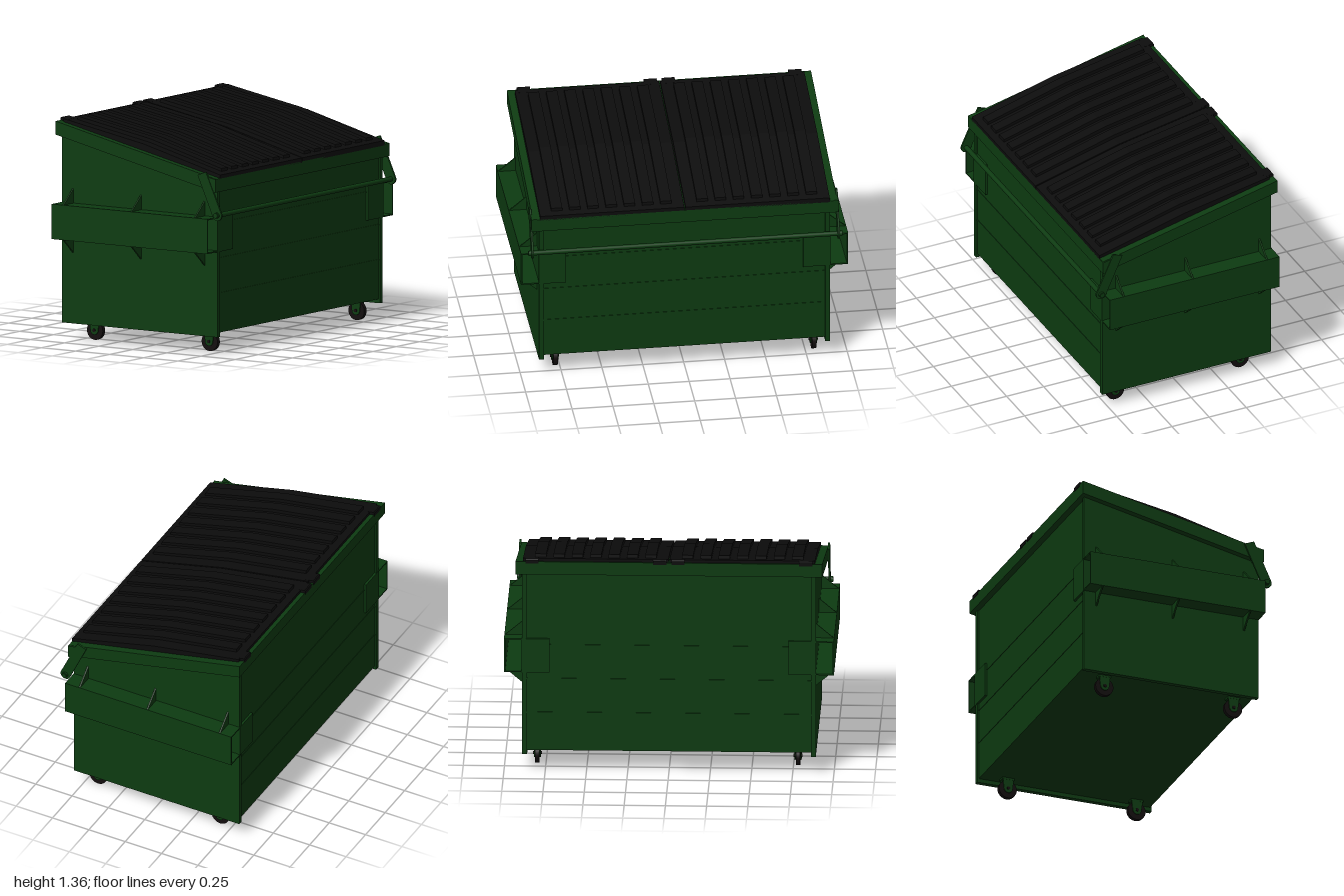
import * as THREE from 'three';

export function createModel() {
  const root = new THREE.Group();
  root.name = 'wasteContainer';
  const mat = (name, color) => Object.assign(new THREE.MeshStandardMaterial({ color }), { name });
  const green = mat('greenSteel', 0x0d3b11);
  const black = mat('blackPlastic', 0x0c0c0c);
  const rubber = mat('darkRubber', 0x120d0d);

  const add = (name, geo, material, parent = root) => {
    const m = new THREE.Mesh(geo, material);
    m.name = name;
    parent.add(m);
    return m;
  };
  const box = (name, x0, x1, y0, y1, z0, z1, material = green, parent = root) =>
    add(name, new THREE.BoxGeometry(x1 - x0, y1 - y0, z1 - z0)
      .translate((x0 + x1) / 2, (y0 + y1) / 2, (z0 + z1) / 2), material, parent);
  const toShape = pts => new THREE.Shape(pts.map(p => new THREE.Vector2(p[0], p[1])));
  // An x-y outline extruded from z0 to z1
  const slab = (name, pts, z0, z1, material = green, parent = root) => {
    const shape = Array.isArray(pts) ? toShape(pts) : pts;
    const g = new THREE.ExtrudeGeometry(shape, { depth: z1 - z0, bevelEnabled: false, curveSegments: 12 });
    return add(name, g.translate(0, 0, z0), material, parent);
  };
  const rodZ = (name, r, x, y, z0, z1, material = green, parent = root, sides = 20) =>
    add(name, new THREE.CylinderGeometry(r, r, z1 - z0, sides)
      .rotateX(Math.PI / 2).translate(x, y, (z0 + z1) / 2), material, parent);

  // Sloping top of the rim
  const rimY = x => 1.34 - (x + 0.615) * 0.2213;

  // Hopper body with slightly proud end plates
  slab('body', [[-0.582, 0.13], [0.535, 0.13], [0.535, rimY(0.535) - 0.02], [-0.582, rimY(-0.582) - 0.02]], -0.865, 0.865);
  for (const [z0, z1] of [[0.86, 0.89], [-0.89, -0.86]]) {
    slab('endPlate', [[-0.592, 0.105], [0.545, 0.105], [0.545, rimY(0.545) - 0.02], [-0.592, rimY(-0.592) - 0.02]], z0, z1);
  }
  // Shallow horizontal seams on the long walls
  for (const y of [0.37, 0.585, 0.8]) {
    box('frontSeam', 0.534, 0.538, y - 0.004, y + 0.004, -0.86, 0.86);
    box('backSeam', -0.585, -0.581, y - 0.004, y + 0.004, -0.86, 0.86);
  }

  // Rim collar and front lip
  slab('rim', [[-0.615, 1.258], [0.56, 0.998], [0.56, rimY(0.56)], [-0.615, 1.34]], -0.93, 0.93);
  slab('frontLip', [[0.5, 1.0], [0.562, 0.998], [0.562, 1.078], [0.5, 1.09]], -0.938, 0.938);

  for (const s of [1, -1]) {
    const span = (a, b) => (s > 0 ? [a, b] : [-b, -a]);

    // Hollow fork pocket
    const pocket = new THREE.Group();
    pocket.name = s > 0 ? 'frontForkPocket' : 'backForkPocket';
    root.add(pocket);
    box('pocketWall', -0.595, 0.547, 0.628, 0.842, ...span(0.992, 1.0), green, pocket);
    box('pocketTop', -0.595, 0.547, 0.834, 0.842, ...span(0.88, 0.995), green, pocket);
    box('pocketBottom', -0.595, 0.547, 0.628, 0.636, ...span(0.88, 0.995), green, pocket);
    box('pocketTabRight', 0.53, 0.548, 0.628, 0.842, ...span(0.725, 0.892), green, pocket);
    box('pocketTabLeft', -0.596, -0.578, 0.628, 0.842, ...span(0.725, 0.892), green, pocket);

    // Triangular gussets above and below the pocket
    for (const x of [-0.513, -0.015, 0.45]) {
      for (const [yIn, yOut] of [[0.935, 0.84], [0.535, 0.63]]) {
        const tri = toShape([[s * 0.885, yIn], [s * 0.998, yOut], [s * 0.885, yOut]]);
        const g = new THREE.ExtrudeGeometry(tri, { depth: 0.01, bevelEnabled: false });
        add('gusset', g.rotateY(-Math.PI / 2).translate(x + 0.005, 0, 0), green, pocket);
      }
    }

    // Hanging arm with a rounded lower end
    const arm = new THREE.Shape();
    arm.moveTo(0.495, 1.12);
    arm.lineTo(0.435, 1.097);
    arm.lineTo(0.547, 0.847);
    arm.absarc(0.577, 0.86, 0.033, Math.PI + 0.41, Math.PI * 2 + 0.41, false);
    arm.closePath();
    slab('swingArm', arm, ...span(0.93, 0.942));
    rodZ('armPin', 0.018, 0.577, 0.86, ...span(0.935, 0.955));

    // Ribbed half lid, crowned in the middle
    const lid = new THREE.Group();
    lid.name = s > 0 ? 'frontLid' : 'backLid';
    root.add(lid);
    slab('lidPanel', [[-0.585, 1.325], [0.562, 1.07], [0.562, 1.1], [0.5, 1.116],
      [0, 1.245], [-0.585, 1.352]], ...span(0.004, 0.885), black, lid);
    for (let i = 0; i < 7; i++) {
      const z = 0.111 + i * 0.1113;
      slab('lidRib', [[-0.535, 1.32], [0.525, 1.09], [0.52, 1.128], [0, 1.268], [-0.53, 1.363]],
        ...span(z - 0.034, z + 0.034), black, lid);
    }
    // Hinge tabs on the high edge
    for (const z of [0.055, 0.83]) {
      slab('hingeTab', [[-0.618, 1.328], [-0.56, 1.315], [-0.56, 1.348], [-0.612, 1.358], [-0.618, 1.352]],
        ...span(z - 0.04, z + 0.04), black, lid);
    }
  }

  // Long rod joining the arms
  rodZ('armRod', 0.015, 0.577, 0.86, -0.96, 0.96);

  // Casters
  for (const x of [-0.42, 0.42]) {
    for (const z of [0.778, -0.803]) {
      const caster = new THREE.Group();
      caster.name = 'caster';
      caster.position.set(x, 0, z);
      root.add(caster);
      rodZ('wheel', 0.058, 0, 0.058, -0.013, 0.013, rubber, caster, 28);
      box('casterTop', -0.04, 0.04, 0.118, 0.132, -0.022, 0.022, green, caster);
      for (const s of [1, -1]) {
        const fork = new THREE.Shape();
        fork.moveTo(0.036, 0.125);
        fork.lineTo(-0.036, 0.125);
        fork.lineTo(-0.028, 0.06);
        fork.absarc(0, 0.06, 0.028, Math.PI, Math.PI * 2, false);
        fork.closePath();
        slab('fork', fork, s * 0.018 - 0.003, s * 0.018 + 0.003, green, caster);
      }
      rodZ('axle', 0.01, 0, 0.06, -0.027, 0.027, rubber, caster, 12);
    }
  }
  return root;
}
